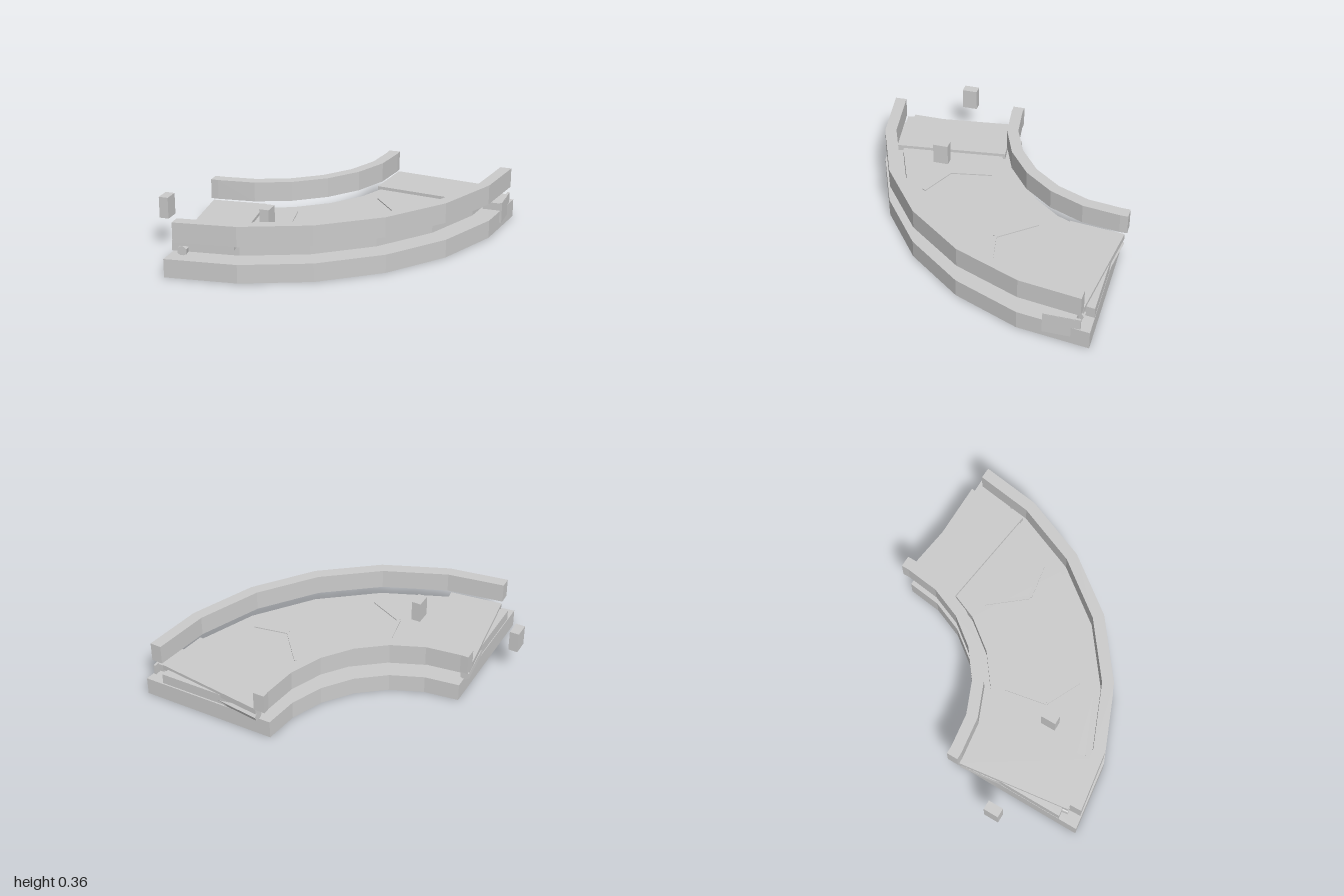
import * as THREE from 'three';

const CX = -0.77, CZ = -0.86; // centre of the bend
const material = new THREE.MeshStandardMaterial({ color: 0xcccccc, flatShading: true });

// Point on the bend, angle in degrees measured from +z towards +x
function onArc(r, deg) {
  const a = THREE.MathUtils.degToRad(deg);
  return [CX + r * Math.sin(a), CZ + r * Math.cos(a)];
}

// Facetted quarter arc in 15 degree steps; start and end angles trim it
function arcPoints(r, from = 0, to = 90) {
  const points = [];
  for (let i = 0; i <= 6; i++) points.push(onArc(r, Math.min(Math.max(i * 15, from), to)));
  return points;
}

// Prism over an outline of [x, z] points
function slab(name, outline, y0, y1) {
  const shape = new THREE.Shape(outline.map(([x, z]) => new THREE.Vector2(x, -z)));
  const geometry = new THREE.ExtrudeGeometry(shape, { depth: y1 - y0, bevelEnabled: false });
  geometry.rotateX(-Math.PI / 2);
  geometry.translate(0, y0, 0);
  const mesh = new THREE.Mesh(geometry, material);
  mesh.name = name;
  return mesh;
}

function box(name, size, position, turn = 0) {
  const mesh = new THREE.Mesh(new THREE.BoxGeometry(...size), material);
  mesh.position.set(...position);
  mesh.rotation.y = turn;
  mesh.name = name;
  return mesh;
}

// Flat bar between two [x, z] points
function bar(name, a, b, width, y, height) {
  const dx = b[0] - a[0], dz = b[1] - a[1];
  return box(name, [Math.hypot(dx, dz), height, width],
    [(a[0] + b[0]) / 2, y, (a[1] + b[1]) / 2], -Math.atan2(dz, dx));
}

// Six-sided roller lying between two [x, z] points
function roller(a, b, y, radius) {
  const start = new THREE.Vector3(a[0], y, a[1]), end = new THREE.Vector3(b[0], y, b[1]);
  const axis = end.clone().sub(start);
  const mesh = new THREE.Mesh(new THREE.CylinderGeometry(radius, radius, axis.length(), 6), material);
  mesh.position.copy(start).add(end).multiplyScalar(0.5);
  mesh.quaternion.setFromUnitVectors(new THREE.Vector3(0, 1, 0), axis.normalize());
  mesh.name = 'endRoller';
  return mesh;
}

export function createModel() {
  const group = new THREE.Group();
  group.name = 'curvedConveyor';

  // Base and the belt bed above it
  group.add(slab('base', [...arcPoints(1.765), ...arcPoints(0.865).reverse()], 0, 0.12));
  group.add(slab('belt', [...arcPoints(1.64), ...arcPoints(0.98).reverse()], 0.13, 0.2));

  // Outer rail stops short of the ends
  group.add(slab('outerRail',
    [...arcPoints(1.755, 2, 88), ...arcPoints(1.68, 2, 88).reverse()], 0.23, 0.36));

  // Inner rail runs straight on past both ends
  const extended = (r) => [[CX - 0.05, CZ + r], ...arcPoints(r), [CX + r, CZ - 0.05]];
  group.add(slab('innerRail', [...extended(0.94), ...extended(0.865).reverse()], 0.23, 0.36));

  // End plates and the rollers under their outer edges
  const leftPlate = [[-0.805, 0.08], [-0.71, 0.81], [-0.36, 0.77], [-0.45, 0.04]];
  const rightPlate = [[0.17, -0.895], [0.905, -0.8], [0.855, -0.45], [0.13, -0.54]];
  group.add(slab('frontEndPlate', leftPlate, 0.18, 0.22));
  group.add(slab('backEndPlate', rightPlate, 0.18, 0.22));
  group.add(roller([-0.775, 0.08], [-0.69, 0.81], 0.147, 0.033));
  group.add(roller([0.17, -0.865], [0.9, -0.77], 0.147, 0.033));

  // Direction chevrons on the belt
  const chevrons = [
    [[-0.23, 0.07], [-0.18, 0.34], [0.05, 0.45]],
    [[0.2, -0.35], [0.39, -0.12], [0.62, -0.16]],
  ];
  for (const [a, tip, b] of chevrons) {
    group.add(bar('chevronArm', a, tip, 0.025, 0.202, 0.01));
    group.add(bar('chevronArm', tip, b, 0.025, 0.202, 0.01));
  }

  // Drive bracket on the outer side near the back end
  group.add(box('bracketPlate', [0.015, 0.14, 0.23], [0.972, 0.12, -0.685]));
  group.add(box('bracketArm', [0.13, 0.05, 0.2], [0.915, 0.16, -0.67]));

  // Sensor posts
  for (const x of [-0.97, -0.283]) {
    group.add(box('sensorPost', [0.062, 0.14, 0.1], [x, 0.28, 0.43]));
  }
  return group;
}
